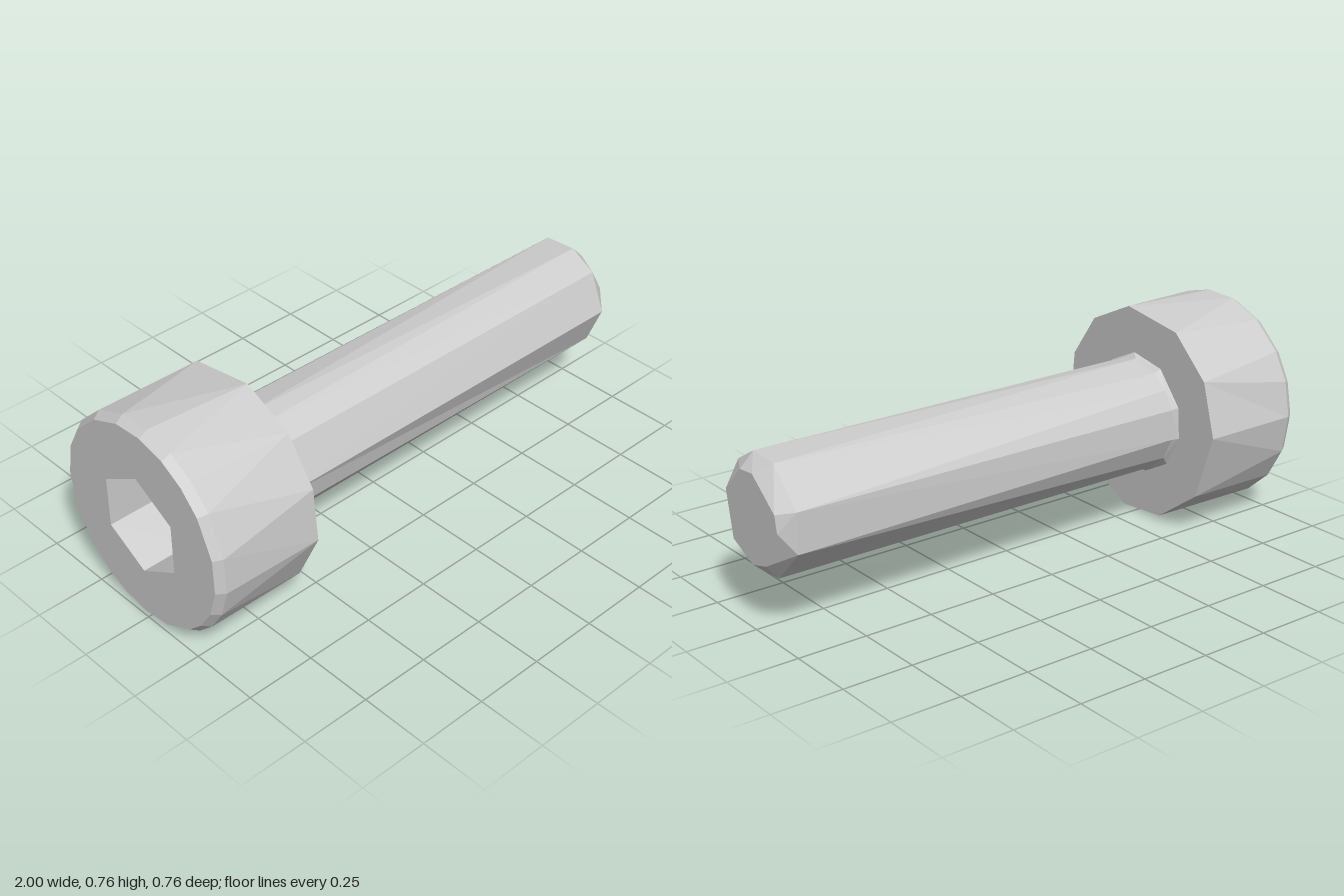
import * as THREE from 'three';

const AXIS_Y = 0.382;

// Skin a row of rings lying around the x axis. Ring: [x, radius, angles in degrees].
// Neighbouring rings may have different corner counts; they are stitched by angle.
function loft(rings) {
  const pos = [];
  const point = ([x, r, angles], i) => {
    const a = THREE.MathUtils.degToRad(angles[i % angles.length]);
    return [x, AXIS_Y + r * Math.sin(a), r * Math.cos(a)];
  };
  const angleAt = ([, , angles], i) =>
    angles[i % angles.length] + 360 * Math.floor(i / angles.length);

  for (let k = 0; k + 1 < rings.length; k++) {
    const A = rings[k], B = rings[k + 1];
    const n = A[2].length, m = B[2].length;
    let i = 0, j = 0;
    while (i < n || j < m) {
      const stepA = j >= m || (i < n && angleAt(A, i + 1) <= angleAt(B, j + 1));
      const tip = stepA ? point(A, i + 1) : point(B, j + 1);
      const collapsed = (stepA ? A[1] : B[1]) === 0;
      if (!collapsed) pos.push(...point(A, i), ...point(B, j), ...tip);
      if (stepA) i++; else j++;
    }
  }
  const geometry = new THREE.BufferGeometry();
  geometry.setAttribute('position', new THREE.Float32BufferAttribute(pos, 3));
  geometry.computeVertexNormals();
  return geometry;
}

export function createModel() {
  const group = new THREE.Group();
  const material = new THREE.MeshStandardMaterial({ color: 0xcccccc, flatShading: true });
  const add = (name, rings) => {
    const mesh = new THREE.Mesh(loft(rings), material);
    mesh.name = name;
    group.add(mesh);
  };

  // Uneven corner angles of the low-poly rings
  const hex = [30, 90, 150, 210, 270, 330];
  const headBack = [12, 35, 51, 67, 84, 102, 122, 143, 160, 179, 200, 219, 238, 252, 268, 286, 307, 320, 335, 352];
  const headFront = [20, 49, 80, 118, 149, 179, 217, 251, 280, 318, 351];
  const fillet = [2, 47, 82, 120, 161, 191, 225, 258, 285, 315, 343];
  const shaftBack = [0, 45, 72, 90, 120, 141, 162, 193, 218, 245, 260, 285, 310, 335];
  const shaftFront = [0, 44, 76, 110, 160, 200, 250, 285, 315];
  const tip = [20, 71, 98, 158, 180, 240, 270, 317];

  // Head: socket floor, socket walls, back face, chamfer, side, underside
  add('head', [
    [-0.8, 0, [0]],
    [-0.8, 0.185, hex],
    [-1, 0.185, hex],
    [-1, 0.362, headBack],
    [-0.97, 0.382, headBack],
    [-0.6, 0.384, headFront],
    [-0.6, 0.218, fillet],
  ]);

  // Shaft: small fillet under the head, long body, chamfered flat tip
  add('shaft', [
    [-0.6, 0.218, fillet],
    [-0.58, 0.203, shaftBack],
    [0.95, 0.205, shaftFront],
    [1, 0.157, tip],
    [1, 0, [0]],
  ]);

  return group;
}
